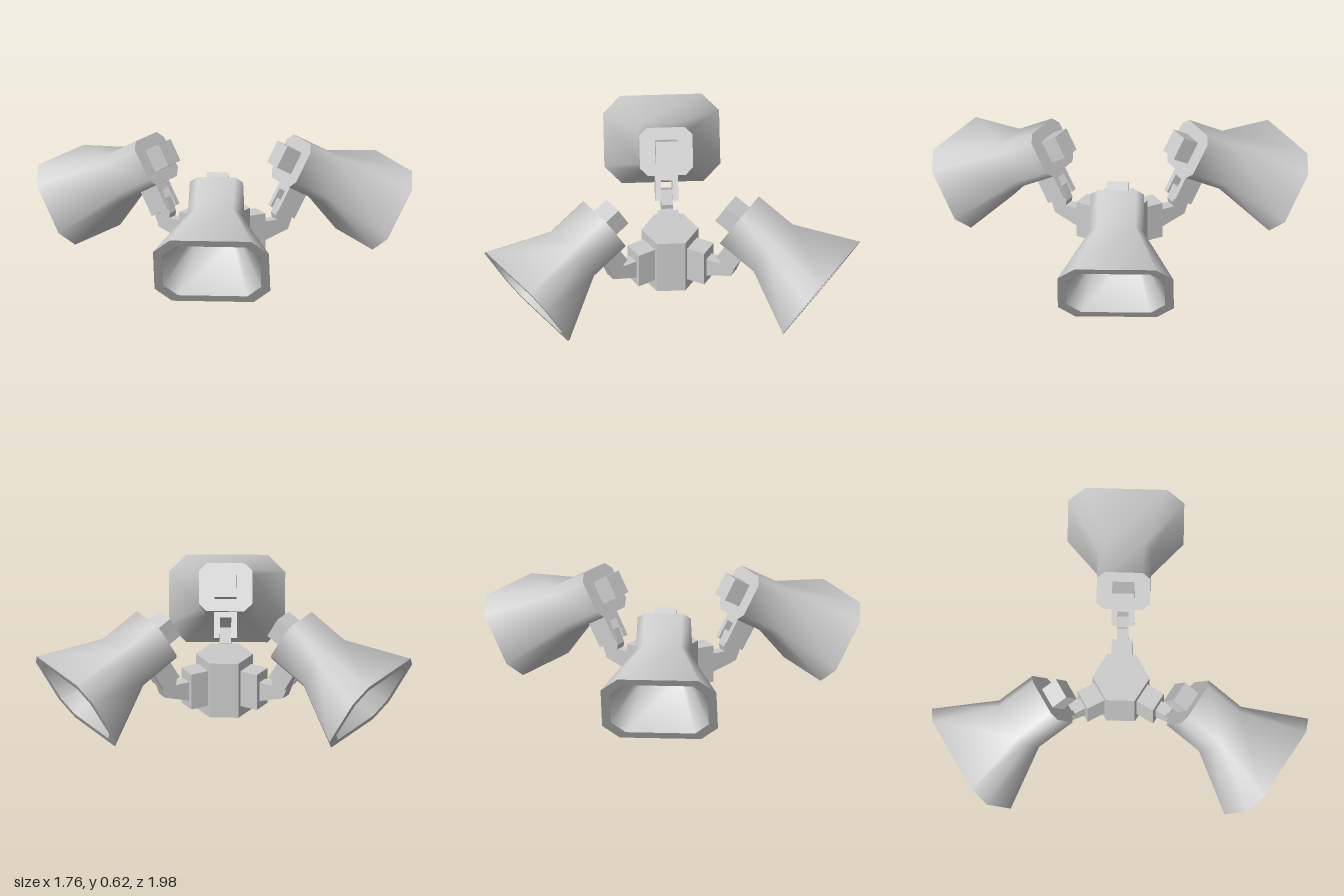
import * as THREE from 'three';
import { toCreasedNormals } from 'three/addons/utils/BufferGeometryUtils.js';

const grey = new THREE.MeshStandardMaterial({ color: 0xcccccc });

function add(parent, name, geometry, x = 0, y = 0, z = 0) {
  const mesh = new THREE.Mesh(geometry, grey);
  mesh.name = name;
  mesh.position.set(x, y, z);
  parent.add(mesh);
  return mesh;
}

const box = (w, h, d) => new THREE.BoxGeometry(w, h, d);

// Lofts chamfered rectangles along x; each section is [x, halfHeight, halfWidth, chamfer]
function loft(sections) {
  const positions = [], index = [];
  for (const [x, h, w, c] of sections) {
    const ring = [[h, -w + c], [h, w - c], [h - c, w], [-h + c, w],
      [-h, w - c], [-h, -w + c], [-h + c, -w], [h - c, -w]];
    for (const [y, z] of ring) positions.push(x, y, z);
  }
  for (let i = 0; i < sections.length - 1; i++) {
    for (let j = 0; j < 8; j++) {
      const k = (j + 1) % 8;
      const a = i * 8 + j, b = i * 8 + k, c = b + 8, d = a + 8;
      index.push(a, b, c, a, c, d);
    }
  }
  const geometry = new THREE.BufferGeometry();
  geometry.setAttribute('position', new THREE.Float32BufferAttribute(positions, 3));
  geometry.setIndex(index);
  return toCreasedNormals(geometry, 0.9);
}

// Horn pointing along +x, with its mounting bracket underneath
function createHorn() {
  const horn = new THREE.Group();
  horn.name = 'horn';

  // Outer shell, rim, flared inside and recessed throat in one skin
  add(horn, 'hornShell', loft([
    [0, 0.001, 0.001, 0.0004],
    [0, 0.127, 0.14, 0.04],
    [0.23, 0.127, 0.14, 0.04],
    [0.56, 0.231, 0.305, 0.09],
    [0.56, 0.188, 0.258, 0.075],
    [0.25, 0.1, 0.122, 0.032],
    [0.25, 0.08, 0.1, 0.026],
    [0.13, 0.08, 0.1, 0.026],
    [0.13, 0.001, 0.001, 0.0004],
  ]));

  // Rounded plug in the throat
  const profile = [[0.055, 0], [0.055, 0.13], [0.05, 0.18], [0.035, 0.215], [0.018, 0.232], [0, 0.236]];
  const plug = add(horn, 'throatPlug',
    new THREE.LatheGeometry(profile.map(([r, y]) => new THREE.Vector2(r, y)), 16), 0.13);
  plug.rotation.z = -Math.PI / 2;

  // Driver block on the back
  add(horn, 'driver', box(0.11, 0.125, 0.116), -0.04, 0, 0);

  // U-shaped bracket
  for (const side of [-1, 1]) {
    add(horn, 'bracketPlate', box(0.11, 0.15, 0.03), 0.085, -0.19, side * 0.045);
  }
  add(horn, 'bracketBridge', box(0.11, 0.04, 0.06), 0.085, -0.138, 0);
  return horn;
}

// Side profile of the bent arm
function createArmGeometry() {
  const points = [[0.225, 0.1], [0.375, 0.15], [0.408, 0.235], [0.42, 0.265],
    [0.34, 0.31], [0.305, 0.235], [0.31, 0.208], [0.225, 0.208]];
  const shape = new THREE.Shape(points.map(([x, y]) => new THREE.Vector2(x, y)));
  return new THREE.ExtrudeGeometry(shape, { depth: 0.06, bevelEnabled: false });
}

export function createModel() {
  const model = new THREE.Group();
  model.name = 'hornCluster';

  // Six-sided centre post
  const hub = new THREE.CylinderGeometry(0.15, 0.15, 0.31, 6).toNonIndexed();
  hub.computeVertexNormals();
  add(model, 'hub', hub, 0.13, 0.155, 0);

  // Three identical arms with horns around the post
  for (let i = 0; i < 3; i++) {
    const branch = new THREE.Group();
    branch.name = 'hornBranch';
    branch.position.x = 0.13;
    branch.rotation.y = Math.PI + i * Math.PI * 2 / 3;

    add(branch, 'mountBlock', box(0.11, 0.2, 0.11), 0.175, 0.16, 0);
    add(branch, 'arm', createArmGeometry(), 0, 0, -0.03);

    const horn = createHorn();
    horn.position.set(0.41, 0.51, 0);
    horn.rotation.z = -Math.PI / 6;
    branch.add(horn);
    model.add(branch);
  }
  return model;
}
